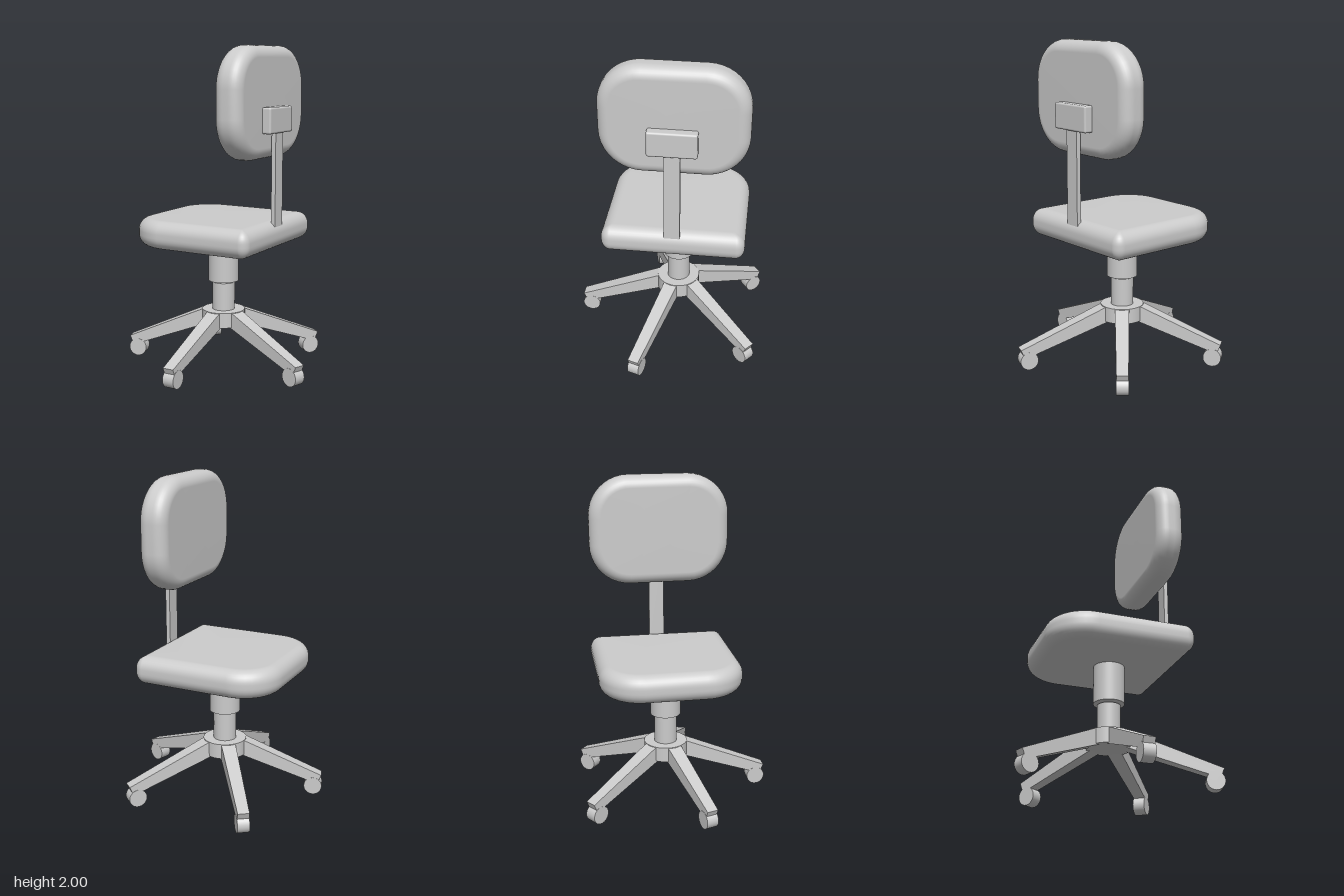
import * as THREE from 'three';
import { RoundedBoxGeometry } from 'three/addons/geometries/RoundedBoxGeometry.js';

const material = new THREE.MeshStandardMaterial({ color: 0xcccccc });
const CX = -0.03, CZ = -0.053; // axis of the column and base

function add(parent, name, geometry, x = 0, y = 0, z = 0) {
  const mesh = new THREE.Mesh(geometry, material);
  mesh.name = name;
  mesh.position.set(x, y, z);
  parent.add(mesh);
  return mesh;
}

// Rounded rectangle, counterclockwise; radii start at the +x +y corner
function outline(w, h, radii, inset) {
  const pts = [], steps = 10;
  const signs = [[1, 1], [-1, 1], [-1, -1], [1, -1]];
  signs.forEach(([sx, sy], c) => {
    const r = Math.max(radii[c] - inset, 0.012);
    for (let i = 0; i <= steps; i++) {
      const a = (c + i / steps) * Math.PI / 2;
      pts.push([sx * (w / 2 - inset - r) + r * Math.cos(a), sy * (h / 2 - inset - r) + r * Math.sin(a)]);
    }
  });
  return pts;
}

// Cushion in the xy plane: stacked outlines with a rounded rim and flat faces
function cushion(w, h, depth, rim, radii) {
  const pos = [], index = [], arc = 8, rings = [];
  for (let i = 0; i <= arc; i++) {
    const a = (i / arc) * Math.PI / 2;
    rings.push([rim * (1 - Math.sin(a)), -depth / 2 + rim * (1 - Math.cos(a))]);
  }
  for (let i = arc; i >= 0; i--) rings.push([rings[i][0], -rings[i][1]]);
  let n = 0;
  for (const [inset, z] of rings) {
    const pts = outline(w, h, radii, inset);
    n = pts.length;
    for (const [x, y] of pts) pos.push(x, y, z);
  }
  for (let k = 0; k < rings.length - 1; k++) {
    for (let i = 0; i < n; i++) {
      const a = k * n + i, b = k * n + (i + 1) % n;
      index.push(a, b, b + n, a, b + n, a + n);
    }
  }
  const back = pos.length / 3, front = back + 1, last = (rings.length - 1) * n;
  pos.push(0, 0, -depth / 2, 0, 0, depth / 2);
  for (let i = 0; i < n; i++) {
    const j = (i + 1) % n;
    index.push(back, j, i, front, last + i, last + j);
  }
  const g = new THREE.BufferGeometry();
  g.setAttribute('position', new THREE.Float32BufferAttribute(pos, 3));
  g.setIndex(index);
  g.computeVertexNormals();
  return g;
}

// Sloping leg along +x, tapering in height and width towards the tip
function legGeometry(length) {
  const profile = new THREE.Shape([
    [0.06, 0.265], [0.1, 0.26], [length - 0.03, 0.085], [length - 0.015, 0.105],
    [length, 0.142], [0.13, 0.352], [0.06, 0.352],
  ].map(([x, y]) => new THREE.Vector2(x, y)));
  const g = new THREE.ExtrudeGeometry(profile, { depth: 1, bevelEnabled: false });
  const p = g.attributes.position;
  for (let i = 0; i < p.count; i++) {
    const width = THREE.MathUtils.mapLinear(p.getX(i), 0.1, length, 0.09, 0.07);
    p.setZ(i, (p.getZ(i) - 0.5) * width);
  }
  g.computeVertexNormals();
  return g;
}

export function createModel() {
  const chair = new THREE.Group();
  chair.name = 'officeChair';

  // Seat: wide corners at the -x edge, tight ones below the backrest
  const seat = cushion(0.86, 0.865, 0.175, 0.075, [0.055, 0.25, 0.25, 0.055]);
  add(chair, 'seat', seat.rotateX(-Math.PI / 2), -0.063, 0.867, CZ);

  // Backrest with its bracket and post
  const backrest = cushion(0.865, 0.67, 0.175, 0.07, [0.25, 0.25, 0.25, 0.25]);
  add(chair, 'backrest', backrest.rotateY(Math.PI / 2), 0.23, 1.665, CZ);
  add(chair, 'backrestBracket', new RoundedBoxGeometry(0.075, 0.155, 0.29, 3, 0.012), 0.333, 1.563, CZ);
  add(chair, 'backrestPost', new THREE.BoxGeometry(0.027, 0.6, 0.095), 0.342, 1.22, CZ);

  // Column
  add(chair, 'columnSleeve', new THREE.CylinderGeometry(0.095, 0.095, 0.245, 40), CX, 0.6625, CZ);
  add(chair, 'columnRod', new THREE.CylinderGeometry(0.071, 0.071, 0.185, 40), CX, 0.4375, CZ);

  // Hub and five legs, each given by its tip on the floor plan and wheel height
  const base = new THREE.Group();
  base.name = 'base';
  base.position.set(CX, 0, CZ);
  chair.add(base);
  add(base, 'hub', new THREE.CylinderGeometry(0.135, 0.135, 0.095, 40), 0, 0.3075, 0);

  const tips = [
    [-0.03, 0.587, 0.068], [0.61, 0.158, 0.068], [0.387, -0.55, 0.06],
    [-0.403, -0.567, 0.056], [-0.616, 0.136, 0.068],
  ];
  for (const [x, z, wheelY] of tips) {
    const dx = x - CX, dz = z - CZ, length = Math.hypot(dx, dz);
    const arm = new THREE.Group();
    arm.name = 'legWithCaster';
    arm.rotation.y = -Math.atan2(dz, dx);
    base.add(arm);
    add(arm, 'leg', legGeometry(length));
    const wheel = new THREE.CylinderGeometry(0.056, 0.056, 0.074, 28).rotateX(Math.PI / 2);
    add(arm, 'casterWheel', wheel, length - 0.052, wheelY, 0);
  }
  return chair;
}
